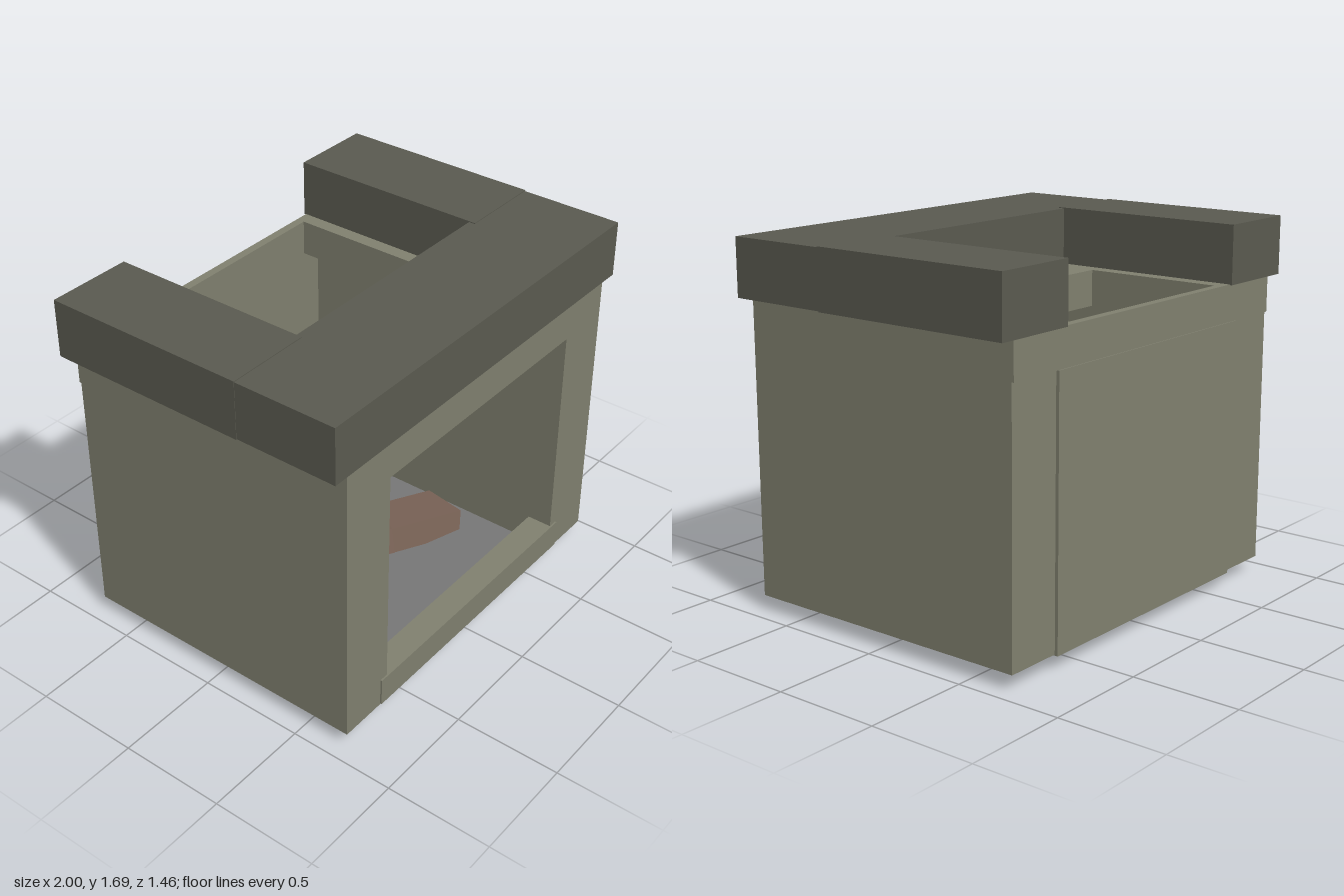
import * as THREE from 'three';

const mat = (color) => new THREE.MeshStandardMaterial({ color, flatShading: true, side: THREE.DoubleSide });

export function createModel() {
  const model = new THREE.Group();
  const stone = mat(0x80806f), darkStone = mat(0x5a5a50), ash = mat(0x777777);
  const wood = mat(0x7c6558), iron = mat(0x333333);

  const add = (name, geometry, material, parent = model) => {
    const mesh = new THREE.Mesh(geometry, material);
    mesh.name = name;
    parent.add(mesh);
    return mesh;
  };
  // Box given by its lower and upper limits on each axis
  const block = (name, material, [x0, x1], [y0, y1], [z0, z1]) => {
    const mesh = add(name, new THREE.BoxGeometry(x1 - x0, y1 - y0, z1 - z0), material);
    mesh.position.set((x0 + x1) / 2, (y0 + y1) / 2, (z0 + z1) / 2);
    return mesh;
  };

  // Stone walls, back panel, sill and hearth floor
  block('leftWall', stone, [0.645, 0.92], [0.08, 1.27], [-0.71, 0.72]);
  block('rightWall', stone, [-0.92, -0.645], [0.08, 1.27], [-0.71, 0.72]);
  block('backPanel', stone, [-0.645, 0.645], [0.075, 1.27], [-0.725, -0.69]);
  block('sill', stone, [-0.69, 0.69], [0.085, 0.22], [0.6, 0.728]);
  block('hearthFloor', ash, [-0.645, 0.645], [0.075, 0.085], [-0.69, 0.715]);

  // Ceiling block with the smoke hole cut through it
  const rect = (target, x, z0, z1) => {
    target.moveTo(-x, -z1).lineTo(x, -z1).lineTo(x, -z0).lineTo(-x, -z0).closePath();
    return target;
  };
  const ceiling = rect(new THREE.Shape(), 0.92, -0.72, 0.72);
  ceiling.holes.push(rect(new THREE.Path(), 0.53, -0.68, -0.01));
  const ceilingGeometry = new THREE.ExtrudeGeometry(ceiling, { depth: 0.17, bevelEnabled: false });
  ceilingGeometry.rotateX(-Math.PI / 2);
  add('ceilingBlock', ceilingGeometry, stone).position.y = 1.27;

  // U-shaped mantel, open at the back
  block('mantelFront', darkStone, [-0.998, 0.998], [1.44, 1.703], [0.21, 0.727]);
  block('mantelLeft', darkStone, [0.597, 1], [1.437, 1.707], [-0.73, 0.24]);
  block('mantelRight', darkStone, [-1, -0.597], [1.437, 1.707], [-0.73, 0.24]);

  // Iron crossbar
  block('crossbar', iron, [-0.645, 0.645], [1.06, 1.14], [-0.145, -0.065]);

  // Cauldron hanging from the crossbar
  const cauldron = new THREE.Group();
  cauldron.name = 'cauldron';
  cauldron.position.z = -0.105;
  model.add(cauldron);
  const profile = [[0, 0.34], [0.075, 0.345], [0.125, 0.37], [0.172, 0.44], [0.176, 0.52], [0.155, 0.625],
    [0.125, 0.625], [0.14, 0.52], [0.13, 0.44], [0, 0.39]].map(([r, y]) => new THREE.Vector2(r, y));
  add('pot', new THREE.LatheGeometry(profile, 8), iron, cauldron);

  // Bail handle and hook, made of straight rod segments
  const rod = (name, points, radius) => {
    const path = new THREE.CurvePath();
    const pts = points.map((p) => new THREE.Vector3(...p));
    for (let i = 1; i < pts.length; i++) path.add(new THREE.LineCurve3(pts[i - 1], pts[i]));
    add(name, new THREE.TubeGeometry(path, 40, radius, 6), iron, cauldron);
  };
  const side = [[0.132, 0.6, 0], [0.148, 0.71, 0], [0.1, 0.805, 0]];
  rod('handle', [...side, [0, 0.842, 0], ...side.map(([x, y, z]) => [-x, y, z]).reverse()], 0.013);
  rod('hook', [[0, 1.08, 0], [0, 0.88, 0], [0, 0.84, -0.025], [0, 0.828, 0], [0, 0.84, 0.03], [0, 0.87, 0.035]], 0.013);

  // Logs: centre, outward direction (x, z), pitch and roll in degrees
  const logs = [
    [[0.06, 0.175, -0.31], [0, -1], -11, -19],
    [[0.14, 0.15, -0.18], [0.89, -0.46], -3, 0],
    [[-0.07, 0.16, -0.1], [-0.8, -0.6], -4, -12],
    [[-0.14, 0.19, 0.06], [-0.91, 0.41], 8, 5],
    [[0.25, 0.145, 0.07], [0.94, 0.33], -8, 9],
  ];
  const rad = THREE.MathUtils.degToRad;
  const logGeometry = new THREE.BoxGeometry(0.26, 0.13, 0.64);
  logs.forEach(([centre, [dx, dz], pitch, roll], i) => {
    const log = add(`log${i + 1}`, logGeometry, wood);
    log.position.set(...centre);
    log.rotation.set(rad(pitch), Math.atan2(-dx, -dz), rad(roll), 'YXZ');
  });

  return model;
}
